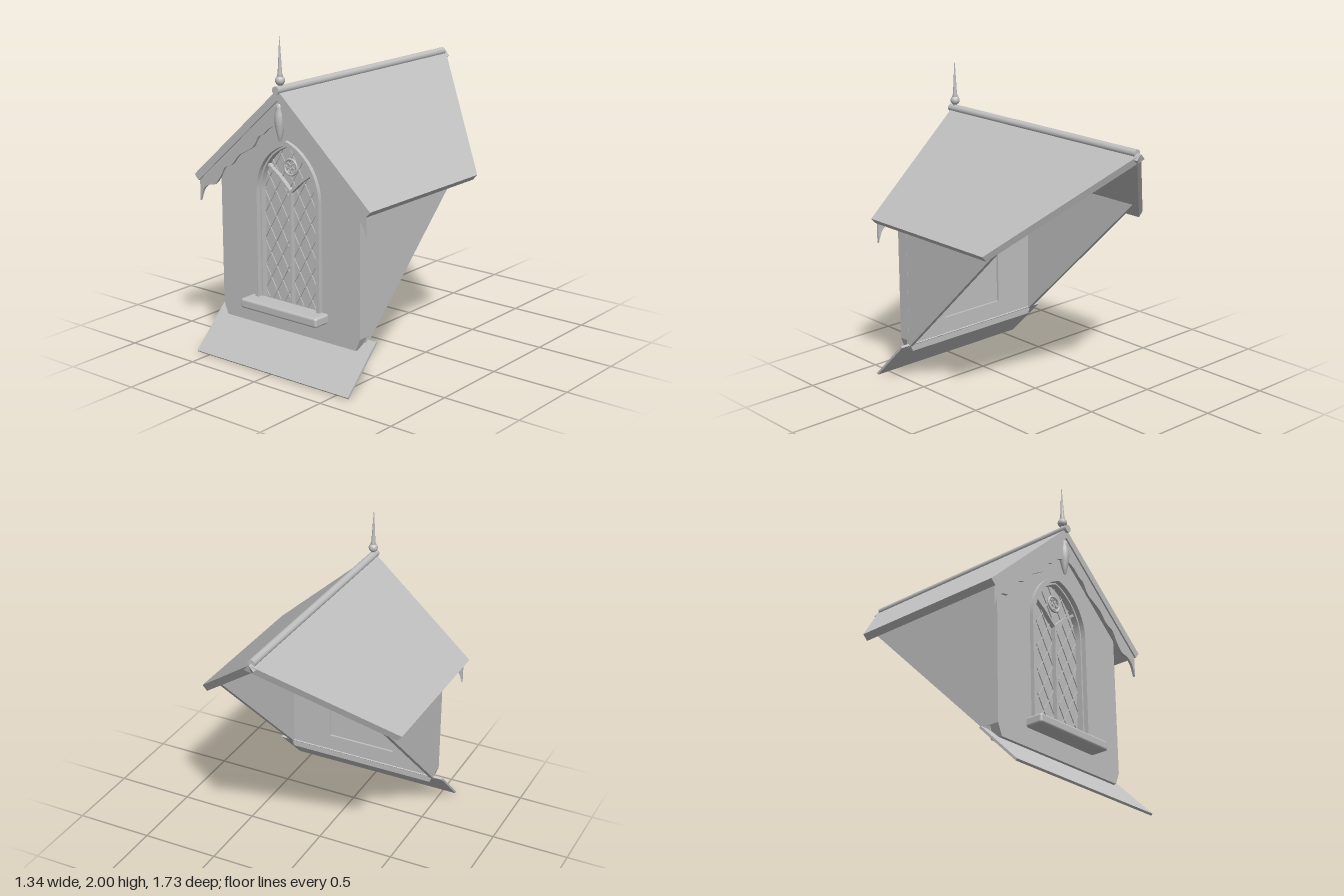
import * as THREE from 'three';
import { RoundedBoxGeometry } from 'three/addons/geometries/RoundedBoxGeometry.js';

const stone = new THREE.MeshStandardMaterial({ color: 0xc0c0c0 });
stone.name = 'pale grey';

const APEX = 1.69, EAVE_X = 0.67, EAVE_Y = 1.09, ROOF_T = 0.046;
const SPRING = 1.05, HALF = 0.25, OFF = 0.093; // pointed window arch

function add(parent, name, geometry, x = 0, y = 0, z = 0) {
  const mesh = new THREE.Mesh(geometry, stone);
  mesh.name = name;
  mesh.position.set(x, y, z);
  parent.add(mesh);
  return mesh;
}

function extrude(shape, depth) {
  return new THREE.ExtrudeGeometry(shape, { depth, bevelEnabled: false, curveSegments: 20 });
}

function polygon(points) {
  return new THREE.Shape(points.map(([x, y]) => new THREE.Vector2(x, y)));
}

// Pointed arch outline, inset by d
function arch(d, bottom, Type = THREE.Shape) {
  const r = HALF + OFF - d, a = Math.acos(OFF / r), s = new Type();
  s.moveTo(-HALF + d, bottom);
  s.lineTo(HALF - d, bottom);
  s.lineTo(HALF - d, SPRING);
  s.absarc(-OFF, SPRING, r, 0, a, false);
  s.absarc(OFF, SPRING, r, Math.PI - a, Math.PI, false);
  s.lineTo(-HALF + d, bottom);
  return s;
}

function insideArch(x, y, d) {
  if (y < 0.38) return false;
  if (y < SPRING) return Math.abs(x) < HALF - d;
  return Math.hypot(Math.abs(x) + OFF, y - SPRING) < HALF + OFF - d;
}

function archRing(outer, inner, depth) {
  const s = arch(outer, 0.37);
  s.holes.push(arch(inner, 0.375, THREE.Path));
  return extrude(s, depth);
}

// Flat bar between two points of the window plane
function bar(parent, name, a, b, width, depth, z) {
  const dx = b[0] - a[0], dy = b[1] - a[1];
  const m = add(parent, name, new THREE.BoxGeometry(width, Math.hypot(dx, dy), depth),
    (a[0] + b[0]) / 2, (a[1] + b[1]) / 2, z + depth / 2);
  m.rotation.z = -Math.atan2(dx, dy);
}

// Sloping roof slab with its back end cut diagonally
function roofSlab(parent, side) {
  const slope = new THREE.Vector3(side * EAVE_X, EAVE_Y - APEX, 0);
  const length = slope.length();
  slope.normalize();
  const zAxis = new THREE.Vector3(0, 0, 1);
  const normal = slope.clone().cross(zAxis);
  const shape = polygon([[0, -0.865], [length, -0.27], [length, 0.765], [0, 0.765]]);
  const g = extrude(shape, ROOF_T);
  if (side < 0) g.translate(0, 0, -ROOF_T);
  g.applyMatrix4(new THREE.Matrix4().makeBasis(slope, zAxis, normal));
  add(parent, side > 0 ? 'leftRoofSlope' : 'rightRoofSlope', g, 0, APEX, 0);
}

function buildWindow() {
  const win = new THREE.Group();
  win.name = 'window';
  add(win, 'windowPane', extrude(arch(0.015, 0.365), 0.02), 0, 0, 0.615);
  add(win, 'outerFrame', archRing(0, 0.025, 0.07), 0, 0, 0.635);
  add(win, 'innerFrame', archRing(0.02, 0.036, 0.045), 0, 0, 0.63);

  // Diamond lattice, each bar trimmed to the arch
  const lean = 0.58;
  for (const side of [-1, 1]) {
    for (let i = -10; i <= 10; i++) {
      const y0 = 0.82 + i * 0.155;
      let first = null, last = null;
      for (let k = -125; k <= 125; k++) {
        const x = k * 0.002, y = y0 + side * x / lean;
        if (!insideArch(x, y, 0.03)) continue;
        if (!first) first = [x, y];
        last = [x, y];
      }
      if (first && Math.abs(last[0] - first[0]) > 0.01) bar(win, 'latticeBar', first, last, 0.007, 0.008, 0.633);
    }
  }

  // Mullion, branching tracery and rose
  bar(win, 'mullion', [0, 0.375], [0, 1.075], 0.014, 0.035, 0.63);
  for (const s of [-1, 1]) {
    bar(win, 'traceryArm', [0, 1.068], [s * 0.09, 1.15], 0.014, 0.034, 0.63);
    bar(win, 'traceryArm', [s * 0.088, 1.148], [s * 0.175, 1.21], 0.014, 0.034, 0.63);
  }
  add(win, 'roseRing', new THREE.TorusGeometry(0.047, 0.007, 8, 32), 0, 1.217, 0.655);
  for (let i = 0; i < 5; i++) {
    const a = Math.PI / 2 + i * Math.PI * 2 / 5;
    add(win, 'roseFoil', new THREE.TorusGeometry(0.015, 0.004, 6, 16),
      0.026 * Math.cos(a), 1.217 + 0.026 * Math.sin(a), 0.653);
  }
  add(win, 'sill', new RoundedBoxGeometry(0.588, 0.06, 0.13, 3, 0.015), 0, 0.362, 0.725);
  return win;
}

export function createModel() {
  const model = new THREE.Group();
  model.name = 'dormer';

  // Gabled front wall with the window opening
  const front = polygon([[-0.5, 0.215], [0.5, 0.215], [0.53, 0.29], [0.53, 1.16],
    [0, 1.635], [-0.53, 1.16], [-0.53, 0.29]]);
  front.holes.push(arch(0.02, 0.37, THREE.Path));
  add(model, 'frontWall', extrude(front, 0.08), 0, 0, 0.6);
  model.add(buildWindow());

  // Triangular cheeks running back to the main roof
  const cheek = extrude(polygon([[-0.62, 0.23], [0.34, 1.18], [-0.62, 1.18]]), 0.03);
  cheek.rotateY(Math.PI / 2);
  add(model, 'leftCheek', cheek, 0.499, 0, 0);
  add(model, 'rightCheek', cheek, -0.529, 0, 0);

  // Sloping apron below the front wall
  const apron = add(model, 'apron', new THREE.BoxGeometry(1.18, 0.368, 0.014), 0, 0.135, 0.73);
  apron.rotation.x = -Math.PI / 4;

  // Roof and ridge roll
  roofSlab(model, 1);
  roofSlab(model, -1);
  const ridge = new THREE.CylinderGeometry(0.024, 0.024, 1.615, 16);
  ridge.rotateX(Math.PI / 2);
  add(model, 'ridgeRoll', ridge, 0, 1.687, -0.0275);

  // Scalloped bargeboards
  const wave = [[0.636, 0.93], [0.61, 1.0], [0.567, 1.037], [0.514, 1.05], [0.466, 1.105],
    [0.43, 1.165], [0.37, 1.195], [0.318, 1.255], [0.27, 1.285], [0.2, 1.327],
    [0.16, 1.39], [0.12, 1.412], [0.08, 1.45], [0.03, 1.475], [0, 1.48]];
  const edge = new THREE.SplineCurve(wave.map(([x, y]) => new THREE.Vector2(x, y)))
    .getPoints(56).map((p) => [p.x, p.y]);
  for (const s of [1, -1]) {
    const outline = [...edge, [0, 1.65], [0.636, 1.08]].map(([x, y]) => [s * x, y]);
    add(model, s > 0 ? 'leftBargeboard' : 'rightBargeboard', extrude(polygon(outline), 0.016), 0, 0, 0.739);
  }

  // Turned pendant hanging at the gable peak
  const pendant = [[0, 1.385], [0.008, 1.39], [0.018, 1.43], [0.028, 1.48], [0.031, 1.52],
    [0.027, 1.555], [0.019, 1.58], [0.021, 1.605], [0, 1.612]];
  add(model, 'pendant', new THREE.LatheGeometry(pendant.map(([r, y]) => new THREE.Vector2(r, y)), 20), 0, 0, 0.745);

  // Finial
  add(model, 'finialBall', new THREE.SphereGeometry(0.029, 20, 14), 0, 1.74, 0.738);
  const spire = [[0.014, 1.7], [0.012, 1.72], [0.018, 1.765], [0.013, 1.78], [0.009, 1.85], [0.004, 1.94], [0, 2]];
  add(model, 'finialSpire', new THREE.LatheGeometry(spire.map(([r, y]) => new THREE.Vector2(r, y)), 16), 0, 0, 0.738);

  return model;
}
